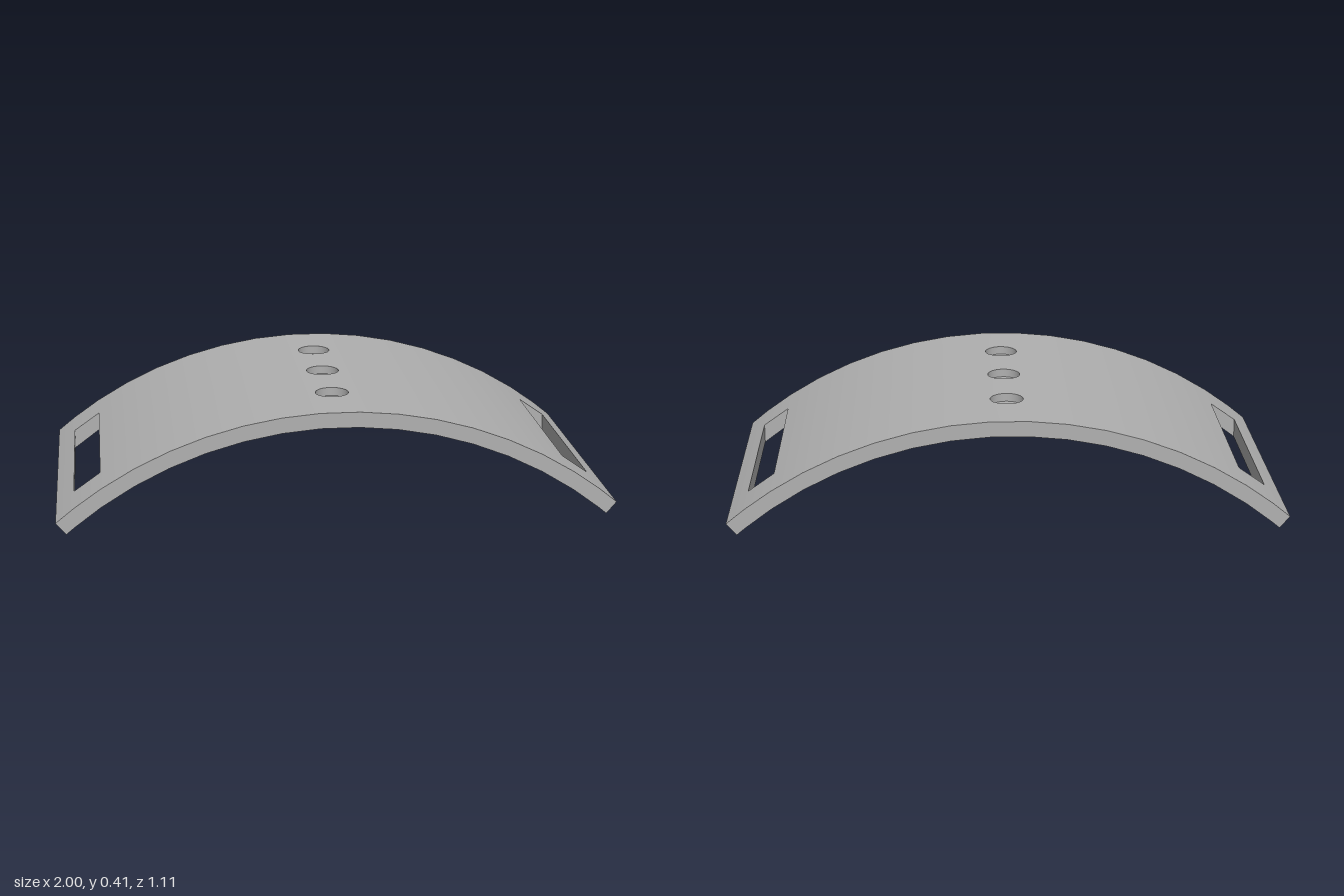
import * as THREE from 'three';

const R = 1.537, RI = 1.481;      // outer and inner radius
const CY = -1.124;                // height of the arc centre
const HZ = 0.555, SLOT_Z = 0.37;  // half depths of plate and slots
const HOLE_R = 0.06, HOLE_DEPTH = 0.03, STRIP = 0.07;

const V = (x, y, z) => new THREE.Vector3(x, y, z);
const onArc = (r, a, z) => V(r * Math.sin(a), CY + r * Math.cos(a), z);
const arcY = (x, r = R) => CY + Math.sqrt(r * r - x * x);
const radial = (s) => (p) => V(p.x * s, (p.y - CY) * s, 0).normalize();
const fixed = (x, y, z) => () => V(x, y, z).normalize();

// Collects triangles, turning each one to agree with its wanted normal
class Builder {
  constructor() { this.pos = []; this.nor = []; }
  tri(a, b, c, normal) {
    const face = b.clone().sub(a).cross(c.clone().sub(a));
    const pts = face.dot(normal(a)) < 0 ? [a, c, b] : [a, b, c];
    for (const p of pts) {
      this.pos.push(...p.toArray());
      this.nor.push(...normal(p).toArray());
    }
  }
  quad(a, b, c, d, normal) {
    this.tri(a, b, c, normal);
    this.tri(a, c, d, normal);
  }
  mesh(name, material) {
    const g = new THREE.BufferGeometry();
    g.setAttribute('position', new THREE.Float32BufferAttribute(this.pos, 3));
    g.setAttribute('normal', new THREE.Float32BufferAttribute(this.nor, 3));
    const m = new THREE.Mesh(g, material);
    m.name = name;
    return m;
  }
}

// Matching angles along the outer and inner arc; slot edges share the same x
function makeStations() {
  const half = [], n = 6;
  const start = Math.asin(STRIP / R);
  for (let i = 0; i <= n; i++) {
    half.push({
      o: THREE.MathUtils.lerp(start, Math.asin(0.84 / R), i / n),
      i: THREE.MathUtils.lerp(start, Math.asin(0.84 / RI), i / n),
    });
  }
  half.push({ o: Math.asin(0.935 / R), i: Math.asin(0.935 / RI) });
  half.push({ o: Math.asin(1 / R), i: Math.asin(1 / R) });
  return [...half.map((s) => ({ o: -s.o, i: -s.i })).reverse(), ...half];
}

export function createModel() {
  const grey = new THREE.MeshStandardMaterial({ color: 0xb0b0b0 });
  grey.name = 'grey';
  const group = new THREE.Group();
  group.name = 'curvedStrapPlate';

  const plate = new Builder(), slots = new Builder();
  const st = makeStations(), last = st.length - 1;
  const middle = (last - 1) / 2;
  const bands = [[-HZ, -SLOT_Z], [-SLOT_Z, SLOT_Z], [SLOT_Z, HZ]];

  for (let k = 0; k < last; k++) {
    const a = st[k], b = st[k + 1];
    const isSlot = k === 1 || k === last - 2;
    // Outer and inner skins, leaving the slots open
    bands.forEach(([z0, z1], j) => {
      if (isSlot && j === 1) return;
      if (k !== middle) {
        plate.quad(onArc(R, a.o, z0), onArc(R, b.o, z0), onArc(R, b.o, z1), onArc(R, a.o, z1), radial(1));
      }
      plate.quad(onArc(RI, a.i, z0), onArc(RI, b.i, z0), onArc(RI, b.i, z1), onArc(RI, a.i, z1), radial(-1));
    });
    // Front and back edges
    const rim = (builder, z, dir) => builder.quad(
      onArc(R, a.o, z), onArc(R, b.o, z), onArc(RI, b.i, z), onArc(RI, a.i, z), fixed(0, 0, dir));
    rim(plate, HZ, 1);
    rim(plate, -HZ, -1);
    // Slot walls
    if (isSlot) {
      rim(slots, SLOT_Z, -1);
      rim(slots, -SLOT_Z, 1);
      for (const [s, dir] of [[a, 1], [b, -1]]) {
        slots.quad(onArc(R, s.o, -SLOT_Z), onArc(R, s.o, SLOT_Z),
          onArc(RI, s.i, SLOT_Z), onArc(RI, s.i, -SLOT_Z), fixed(dir, 0, 0));
      }
    }
  }

  // Slanted left and right ends
  for (const [s, dir] of [[st[0], -1], [st[last], 1]]) {
    plate.quad(onArc(R, s.o, -HZ), onArc(R, s.o, HZ), onArc(RI, s.i, HZ), onArc(RI, s.i, -HZ),
      fixed(dir * Math.cos(s.o), -Math.abs(Math.sin(s.o)), 0));
  }

  // Centre strip of the outer skin with three round openings
  const strip = new THREE.Shape([[-STRIP, -HZ], [STRIP, -HZ], [STRIP, HZ], [-STRIP, HZ]]
    .map(([x, y]) => new THREE.Vector2(x, y)));
  const centres = [-0.298, 0, 0.298], N = 32;
  for (const z of centres) {
    const ring = [];
    for (let i = 0; i < N; i++) {
      const t = (i / N) * Math.PI * 2;
      ring.push(new THREE.Vector2(HOLE_R * Math.cos(t), z + HOLE_R * Math.sin(t)));
    }
    strip.holes.push(new THREE.Path(ring));
  }
  const flat = new THREE.ShapeGeometry(strip).toNonIndexed().attributes.position;
  const lift = (i) => V(flat.getX(i), arcY(flat.getX(i)), flat.getY(i));
  for (let i = 0; i < flat.count; i += 3) {
    plate.tri(lift(i), lift(i + 1), lift(i + 2), radial(1));
  }

  // Shallow round pockets
  const pockets = new Builder();
  for (const z of centres) {
    const rim = (i, drop) => {
      const t = (i / N) * Math.PI * 2, x = HOLE_R * Math.cos(t);
      return V(x, arcY(x) - drop, z + HOLE_R * Math.sin(t));
    };
    const inward = (p) => V(-p.x, 0, z - p.z).normalize();
    for (let i = 0; i < N; i++) {
      pockets.quad(rim(i, 0), rim(i + 1, 0), rim(i + 1, HOLE_DEPTH), rim(i, HOLE_DEPTH), inward);
      pockets.tri(V(0, arcY(0) - HOLE_DEPTH, z), rim(i, HOLE_DEPTH), rim(i + 1, HOLE_DEPTH), fixed(0, 1, 0));
    }
  }

  group.add(plate.mesh('curvedPlate', grey), slots.mesh('slotWalls', grey), pockets.mesh('roundPockets', grey));
  return group;
}
